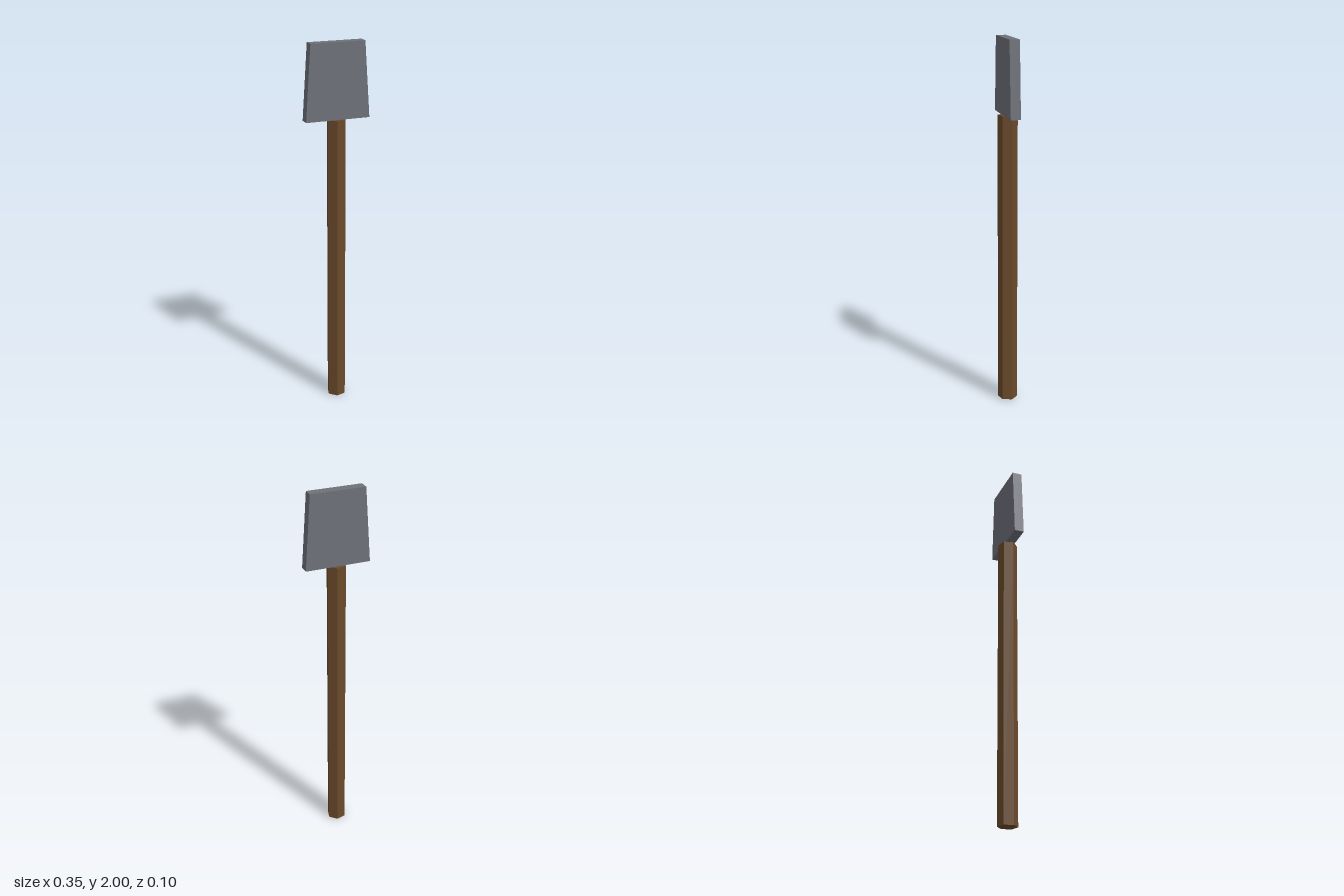
import * as THREE from 'three';

export function createModel() {
  const group = new THREE.Group();
  const wood = new THREE.MeshStandardMaterial({ color: 0x6b4a2b });
  wood.name = 'brown wood';
  const metal = new THREE.MeshStandardMaterial({ color: 0x6e7179 });
  metal.name = 'grey metal';

  const joint = 1.603; // height where the blade sits on the handle

  // Six-sided handle, turned so that no side faces straight forward
  const handleGeometry = new THREE.CylinderGeometry(0.053, 0.053, joint, 6, 1, false, Math.PI / 4)
    .toNonIndexed();
  handleGeometry.computeVertexNormals();
  const handle = new THREE.Mesh(handleGeometry, wood);
  handle.name = 'handle';
  handle.position.y = joint / 2;
  group.add(handle);

  // Flat blade, slightly narrower at the top
  const outline = new THREE.Shape([
    new THREE.Vector2(-0.174, joint),
    new THREE.Vector2(0.174, joint),
    new THREE.Vector2(0.147, 2),
    new THREE.Vector2(-0.147, 2),
  ]);
  const thickness = 0.053;
  const bladeGeometry = new THREE.ExtrudeGeometry(outline, { depth: thickness, bevelEnabled: false });
  bladeGeometry.translate(0, 0, -thickness / 2);
  const blade = new THREE.Mesh(bladeGeometry, metal);
  blade.name = 'blade';
  group.add(blade);

  return group;
}
